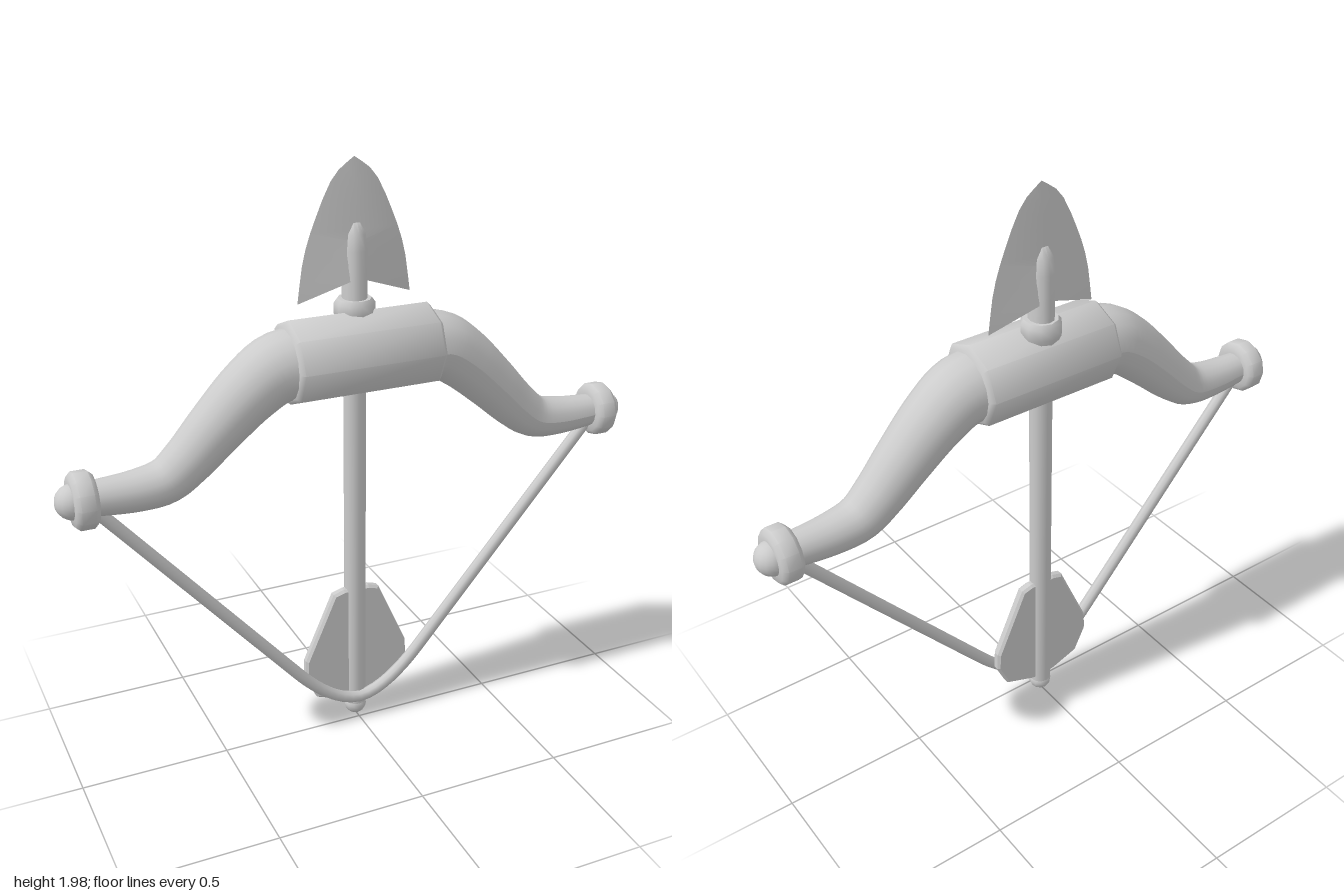
import * as THREE from 'three';
import { toCreasedNormals } from 'three/addons/utils/BufferGeometryUtils.js';

const material = new THREE.MeshStandardMaterial({ color: 0xcccccc });
const V = (x, y, z = 0) => new THREE.Vector3(x, y, z);

function add(parent, name, geometry, x = 0, y = 0, z = 0) {
  const mesh = new THREE.Mesh(geometry, material);
  mesh.name = name;
  mesh.position.set(x, y, z);
  parent.add(mesh);
  return mesh;
}

// Turned part from [radius, height] pairs, listed bottom to top
function turned(profile, sides, crease = 0.85) {
  const points = profile.map(([r, y]) => new THREE.Vector2(r, y));
  return toCreasedNormals(new THREE.LatheGeometry(points, sides), crease);
}

// Tube whose radius runs from r0 to r1 along the curve
function taperedTube(curve, r0, r1, steps, sides) {
  const geo = new THREE.TubeGeometry(curve, steps, 1, sides);
  const pos = geo.attributes.position;
  const v = V(0, 0);
  for (let i = 0; i < pos.count; i++) {
    const t = Math.floor(i / (sides + 1)) / steps;
    const centre = curve.getPointAt(t);
    v.fromBufferAttribute(pos, i).sub(centre).multiplyScalar(r0 + (r1 - r0) * t).add(centre);
    pos.setXYZ(i, v.x, v.y, v.z);
  }
  geo.computeVertexNormals();
  return geo;
}

// Blade with a thick central ridge, sharp curved edges and a swept-back base
function bladeGeometry() {
  const edge = new THREE.CatmullRomCurve3([
    V(0.193, 1.545), V(0.17, 1.69), V(0.128, 1.81), V(0.064, 1.935), V(0, 1.985)]);
  const rows = 10;
  const data = [];
  const tri = (...corners) => corners.forEach((p) => data.push(p.x, p.y, p.z));
  const row = (t, sx, sz) => {
    const e = edge.getPoint(t);
    return [V(0, 1.615 + 0.37 * t, sz * 0.036 * (1 - t)), V(sx * e.x, e.y, 0)];
  };
  for (const sx of [-1, 1]) {
    for (const sz of [-1, 1]) {
      for (let i = 0; i < rows; i++) {
        const [a, b] = row(i / rows, sx, sz);
        const [d, c] = row((i + 1) / rows, sx, sz);
        if (sx * sz > 0) { tri(a, b, c); tri(a, c, d); }
        else { tri(a, c, b); tri(a, d, c); }
      }
    }
    // Underside of the barb
    const [front, tip] = row(0, sx, 1);
    const [back] = row(0, sx, -1);
    if (sx > 0) tri(front, back, tip);
    else tri(front, tip, back);
  }
  const geo = new THREE.BufferGeometry();
  geo.setAttribute('position', new THREE.Float32BufferAttribute(data, 3));
  return toCreasedNormals(geo, 0.3);
}

// Flat feather with softened edges
function finGeometry(side) {
  const outline = [[0, 0.07], [0.05, 0.08], [0.145, 0.115], [0.185, 0.2],
    [0.182, 0.26], [0.078, 0.495], [0.045, 0.505], [0, 0.505]];
  const shape = new THREE.Shape(outline.map(([x, y]) => new THREE.Vector2(side * x, y)));
  const geo = new THREE.ExtrudeGeometry(shape, {
    depth: 0.018, bevelThickness: 0.009, bevelSize: 0.008, bevelSegments: 1 });
  return geo.translate(0, 0, -0.009);
}

export function createModel() {
  const model = new THREE.Group();
  model.name = 'bowAndArrow';

  const bow = new THREE.Group();
  bow.name = 'bow';
  model.add(bow);

  // Eight-sided grip with chamfered ends
  const grip = add(bow, 'grip', turned([[0, -0.25], [0.125, -0.25], [0.138, -0.237],
    [0.138, 0.237], [0.125, 0.25], [0, 0.25]], 8), 0, 1.373);
  grip.rotation.z = -Math.PI / 2;

  // Limbs with end rings and round tips
  const limbPath = new THREE.CatmullRomCurve3([V(0.2, 1.37), V(0.28, 1.362), V(0.37, 1.305),
    V(0.48, 1.205), V(0.58, 1.107), V(0.65, 1.054), V(0.74, 1.037), V(0.93, 1.037)]);
  const limbGeo = taperedTube(limbPath, 0.118, 0.052, 36, 16);
  const ringGeo = turned([[0.045, -0.037], [0.078, -0.037], [0.092, -0.022],
    [0.092, 0.022], [0.078, 0.037], [0.045, 0.037]], 12);
  const tipGeo = new THREE.SphereGeometry(0.056, 16, 12);
  ['left', 'right'].forEach((side, i) => {
    const half = new THREE.Group();
    half.name = side + 'Limb';
    half.rotation.y = i * Math.PI;
    add(half, 'limb', limbGeo);
    add(half, 'endRing', ringGeo, 0.914, 1.037).rotation.z = -Math.PI / 2;
    add(half, 'tip', tipGeo, 0.944, 1.037);
    bow.add(half);
  });

  // Drawn string, straight to the ends and rounded at the nock
  const string = new THREE.CurvePath();
  string.add(new THREE.LineCurve3(V(-0.9, 1.02), V(-0.23, 0.24)));
  string.add(new THREE.CubicBezierCurve3(V(-0.23, 0.24), V(-0.14, 0.135), V(-0.06, 0.088), V(0, 0.088)));
  string.add(new THREE.CubicBezierCurve3(V(0, 0.088), V(0.06, 0.088), V(0.14, 0.135), V(0.23, 0.24)));
  string.add(new THREE.LineCurve3(V(0.23, 0.24), V(0.9, 1.02)));
  add(bow, 'string', new THREE.TubeGeometry(string, 80, 0.021, 8));

  // Arrow, set slightly behind the string
  const arrow = new THREE.Group();
  arrow.name = 'arrow';
  arrow.position.z = -0.036;
  model.add(arrow);
  add(arrow, 'shaft', new THREE.CylinderGeometry(0.037, 0.037, 1.5, 12), 0, 0.8);
  add(arrow, 'nock', new THREE.SphereGeometry(0.039, 12, 10), 0, 0.042);
  add(arrow, 'collar', turned([[0.03, 1.46], [0.05, 1.46], [0.066, 1.495],
    [0.066, 1.53], [0.055, 1.545], [0.03, 1.545]], 10));
  add(arrow, 'socket', turned([[0.04, 1.5], [0.04, 1.7], [0.034, 1.75],
    [0.02, 1.785], [0, 1.795]], 12)).scale.z = 1.15;
  add(arrow, 'blade', bladeGeometry());
  add(arrow, 'leftFin', finGeometry(1));
  add(arrow, 'rightFin', finGeometry(-1));
  return model;
}
